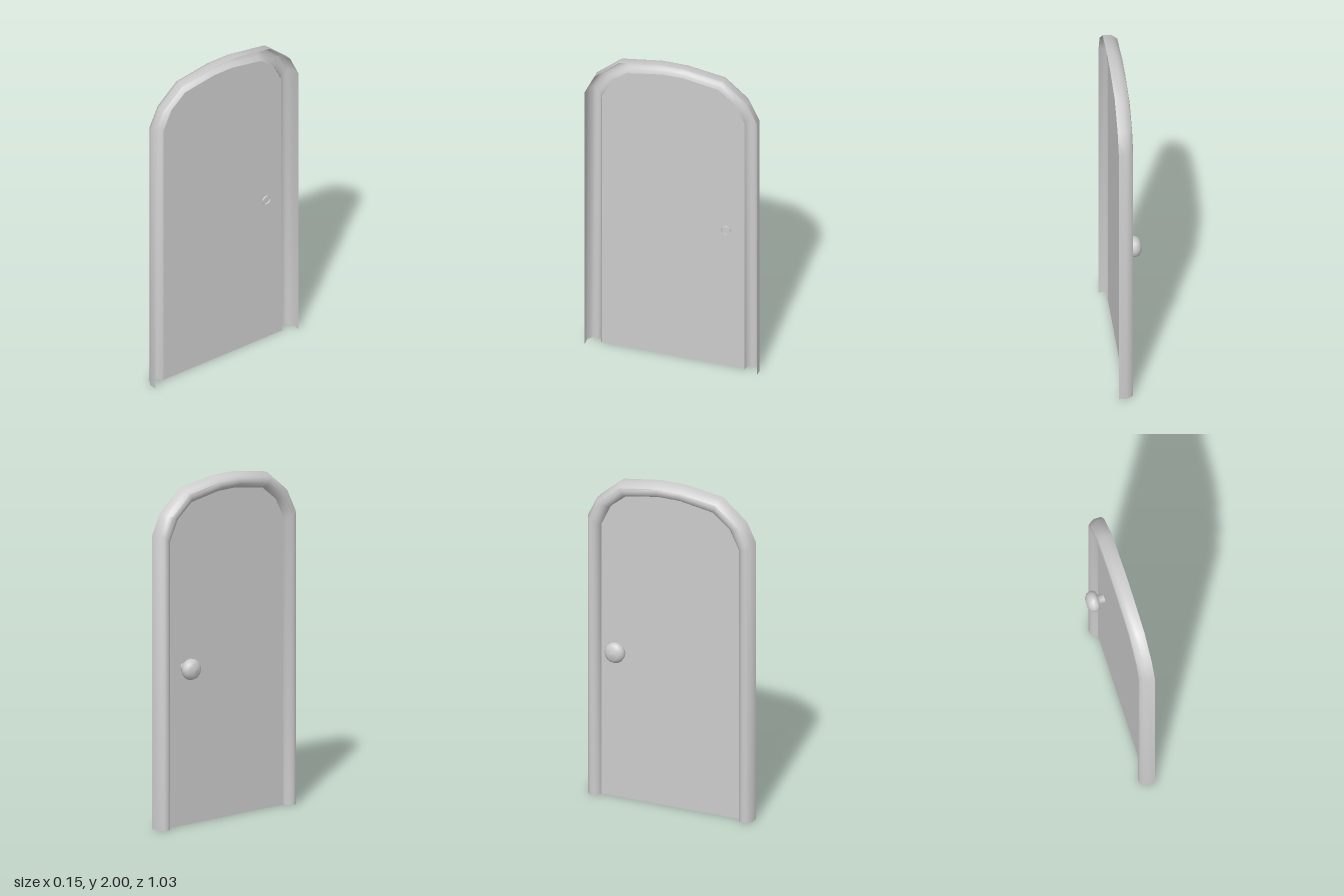
import * as THREE from 'three';
import { toCreasedNormals } from 'three/addons/utils/BufferGeometryUtils.js';

const material = new THREE.MeshStandardMaterial({ color: 0xcccccc, side: THREE.DoubleSide });

// Half an arch as (z, y), mirrored into a full path from +z foot to -z foot
const arch = (half) => [...half, ...half.map(([z, y]) => [-z, y]).reverse()];
const INNER = arch([[0.43, 0], [0.43, 1.68], [0.372, 1.8], [0.275, 1.88], [0.065, 1.915]]);
const OUTER = arch([[0.515, 0], [0.515, 1.72], [0.457, 1.84], [0.31, 1.965], [0.075, 2]]);

// Moulding cross-section: [x, share of the way from inner to outer arch]
const PROFILE = [[0.04, 0], [0.025, 0.02], [0.005, 0.12], [-0.008, 0.3], [-0.012, 0.5],
  [-0.008, 0.72], [0.01, 0.87], [0.03, 1], [0.075, 1]];

// Skin the cross-section between the two arches
function mouldingGeometry() {
  const positions = [];
  const index = [];
  const n = PROFILE.length;
  INNER.forEach(([zi, yi], i) => {
    const [zo, yo] = OUTER[i];
    PROFILE.forEach(([x, t], j) => {
      positions.push(x, yi + (yo - yi) * t, zi + (zo - zi) * t);
      if (i > 0 && j > 0) {
        const a = (i - 1) * n + j - 1;
        const b = a + n;
        index.push(a, a + 1, b, a + 1, b + 1, b);
      }
    });
  });
  const geometry = new THREE.BufferGeometry();
  geometry.setAttribute('position', new THREE.Float32BufferAttribute(positions, 3));
  geometry.setIndex(index);
  return toCreasedNormals(geometry, 0.75);
}

export function createModel() {
  const door = new THREE.Group();
  door.name = 'archedDoor';

  const add = (name, geometry) => {
    const mesh = new THREE.Mesh(geometry, material);
    mesh.name = name;
    door.add(mesh);
    return mesh;
  };

  // Thin panel filling the inner arch
  const shape = new THREE.Shape(INNER.map(([z, y]) => new THREE.Vector2(z, y)));
  add('doorPanel', new THREE.ShapeGeometry(shape).rotateY(-Math.PI / 2)).position.x = 0.03;

  // Hollow rounded moulding, open at the back
  add('doorFrame', mouldingGeometry());

  // Turned knob whose open stem passes through the panel
  const knobProfile = [[0.026, -0.04], [0.026, 0], [0.05, 0.008], [0.06, 0.022],
    [0.062, 0.04], [0.053, 0.06], [0.032, 0.073], [0, 0.077]]
    .map(([r, h]) => new THREE.Vector2(r, h));
  const knob = add('doorKnob', new THREE.LatheGeometry(knobProfile, 16).rotateZ(Math.PI / 2));
  knob.position.set(0, 0.925, -0.317);

  return door;
}
